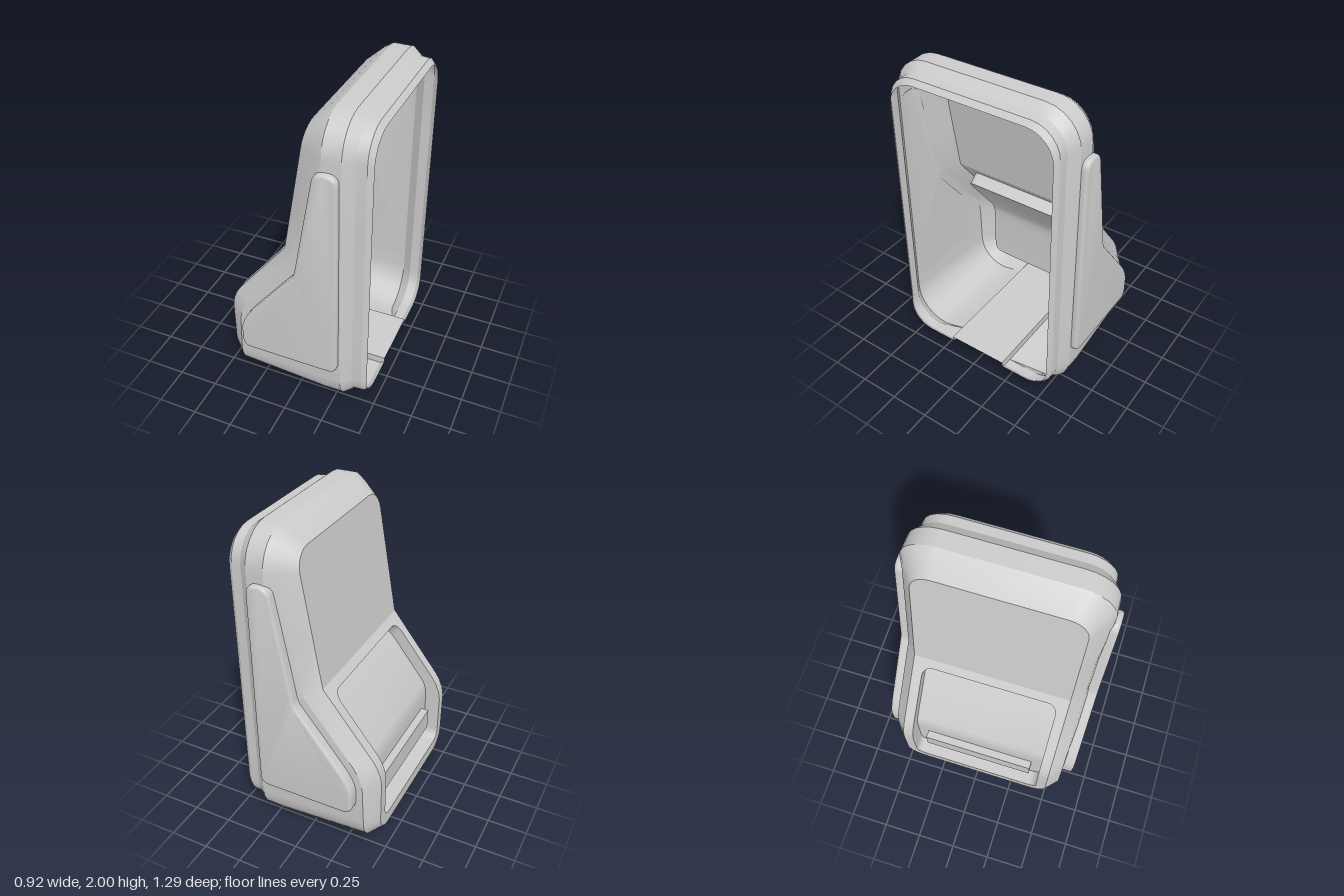
import * as THREE from 'three';
import { toCreasedNormals } from 'three/addons/utils/BufferGeometryUtils.js';

const material = new THREE.MeshStandardMaterial({ color: 0xcccccc, side: THREE.DoubleSide });

// piecewise linear x(y) through [y, x] knots, clamped at the ends
const along = (knots) => (y) => {
  if (y <= knots[0][0]) return knots[0][1];
  for (let i = 1; i < knots.length; i++) {
    const [y0, x0] = knots[i - 1], [y1, x1] = knots[i];
    if (y <= y1) return x0 + ((x1 - x0) * (y - y0)) / (y1 - y0);
  }
  return knots[knots.length - 1][1];
};
const faceX = along([[0.1, -0.46], [0.5, -0.46], [0.56, -0.45], [0.62, -0.425], [0.66, -0.4], [1.07, -0.08], [1.89, 0.06]]);
const floorX = along([[0.18, -0.36], [0.5, -0.36], [0.56, -0.355], [0.61, -0.337], [0.97, -0.057]]);

// mirror a half outline of [z, y] pairs into a closed loop of 3D points
function mirrorLoop(half, xOf) {
  const all = [...half, ...half.slice(1, -1).reverse().map(([z, y]) => [-z, y])];
  return all.map(([z, y]) => new THREE.Vector3(xOf(y), y, z));
}

function arc(cz, cy, r, from) {
  const pts = [];
  for (let i = 0; i <= 6; i++) {
    const a = from + (Math.PI / 2) * (i / 6);
    pts.push([cz + r * Math.cos(a), cy + r * Math.sin(a)]);
  }
  return pts;
}

// rounded rectangle loop; bottom holds extra points, knots are heights on the sides
function ring(hw, y0, y1, r0, r1, knots, xOf, bottom = []) {
  return mirrorLoop([
    [0, bottom.length ? bottom[0][1] : y0], ...bottom,
    ...arc(hw - r0, y0 + r0, r0, -Math.PI / 2),
    ...knots.map((y) => [hw, y]),
    ...arc(hw - r1, y1 - r1, r1, 0),
    [0, y1],
  ], xOf);
}

function mesh(name, geometry) {
  const m = new THREE.Mesh(geometry, material);
  m.name = name;
  return m;
}

function fromTriangles(points, index, crease) {
  const g = new THREE.BufferGeometry().setFromPoints(points);
  g.setIndex(index);
  return toCreasedNormals(g, crease);
}

// skin through loops of equal length, optionally closed across the last one
function loft(loops, cap = false, crease = 0.5) {
  const n = loops[0].length, index = [];
  for (let k = 0; k < loops.length - 1; k++) {
    for (let i = 0; i < n; i++) {
      const j = (i + 1) % n, a = k * n, b = a + n;
      index.push(a + i, a + j, b + i, a + j, b + j, b + i);
    }
  }
  if (cap) {
    const s = (loops.length - 1) * n;
    for (let i = 0; i < n / 2; i++) {
      const l = s + i, l2 = s + i + 1, r = s + ((n - i) % n), r2 = s + n - i - 1;
      index.push(l, l2, r, l2, r2, r);
    }
  }
  return fromTriangles(loops.flat(), index, crease);
}

// side panel outline with rounded corners
function roundedShape(corners, radius) {
  const shape = new THREE.Shape();
  const pts = corners.map(([x, y]) => new THREE.Vector2(x, y));
  pts.forEach((p, i) => {
    const prev = pts[(i + pts.length - 1) % pts.length], next = pts[(i + 1) % pts.length];
    const a = p.clone().add(prev.clone().sub(p).setLength(radius));
    const b = p.clone().add(next.clone().sub(p).setLength(radius));
    if (i === 0) shape.moveTo(a.x, a.y);
    else shape.lineTo(a.x, a.y);
    shape.quadraticCurveTo(p.x, p.y, b.x, b.y);
  });
  shape.closePath();
  return shape;
}

function sidePanelGeometry() {
  const shape = roundedShape([[0.28, 0.34], [0.28, 1.7], [0.18, 1.7], [0.055, 0.99], [-0.265, 0.58], [-0.31, 0.49], [-0.31, 0.34]], 0.04);
  const g = new THREE.ExtrudeGeometry(shape, {
    depth: 0.04, bevelEnabled: true, bevelSize: 0.02, bevelThickness: 0.02, bevelSegments: 4, curveSegments: 5,
  });
  g.translate(0, 0, 0.585);
  // settle the back of the panel onto the tapering side wall
  const p = g.attributes.position;
  for (let i = 0; i < p.count; i++) {
    if (p.getZ(i) > 0.6) continue;
    const edge = faceX(p.getY(i) + 0.03) + 0.09;
    const t = THREE.MathUtils.clamp((p.getX(i) - edge) / (0.2 - edge), 0, 1);
    p.setZ(i, 0.573 + 0.033 * t);
  }
  g.deleteAttribute('uv');
  return toCreasedNormals(g, 0.6);
}

export function createModel() {
  const model = new THREE.Group();
  model.name = 'housing';

  // open shell: stepped rim, side walls, chamfer to the face, channel under the base
  const knots = [0.5, 0.56, 0.62, 0.66, 1.07, 1.4];
  const channel = (y) => [[0.2, 0.1], [0.2, y]];
  const flat = (x, hw, y0, y1, r) => ring(hw, y0, y1, hw - 0.38, r, knots, () => x, channel(Math.max(y0, 0.05)));
  const chamferEdge = ring(0.575, 0.02, 1.97, 0.195, 0.19, knots.map((y) => y - 0.03),
    (y) => faceX(y + 0.03) + (y < 0.3 ? 0.08 : 0.09), channel(0.05));
  const faceEdge = ring(0.5, 0.1, 1.89, 0.12, 0.12, knots, faceX, channel(0.1));
  model.add(mesh('shell', loft([
    flat(0.46, 0.535, 0.07, 1.92, 0.17),
    flat(0.43, 0.557, 0.05, 1.95, 0.18),
    flat(0.37, 0.56, 0.045, 1.955, 0.18),
    flat(0.31, 0.605, 0, 2, 0.22),
    flat(0.2, 0.61, 0, 2, 0.22),
    chamferEdge, faceEdge,
  ])));

  // flat upper face
  const upper = mirrorLoop([[0, 1.07], [0.5, 1.07], [0.5, 1.4], ...arc(0.38, 1.77, 0.12, 0), [0, 1.89]], faceX);
  model.add(mesh('upperFace', loft([upper], true)));

  // sloping lower face around a sunken tray
  const lowerKnots = [0.5, 0.56, 0.62, 0.66];
  const lowerEdge = ring(0.5, 0.1, 1.07, 0.12, 0.001, lowerKnots, faceX);
  const trayEdge = ring(0.435, 0.18, 1.02, 0.06, 0.06, lowerKnots, faceX);
  const trayFloor = ring(0.435, 0.18, 0.97, 0.06, 0.06, [0.5, 0.56, 0.585, 0.61], floorX);
  model.add(mesh('lowerFace', loft([lowerEdge, trayEdge])));
  model.add(mesh('tray', loft([trayEdge, trayFloor], true)));

  // bar across the tray
  const bar = mesh('trayBar', new THREE.BoxGeometry(0.05, 0.14, 0.73));
  bar.position.set(-0.386, 0.37, 0);
  model.add(bar);

  // raised panels on both sides
  const panel = sidePanelGeometry();
  for (const side of [1, -1]) {
    const m = mesh(side > 0 ? 'frontSidePanel' : 'backSidePanel', panel);
    m.scale.z = side;
    model.add(m);
  }
  return model;
}
